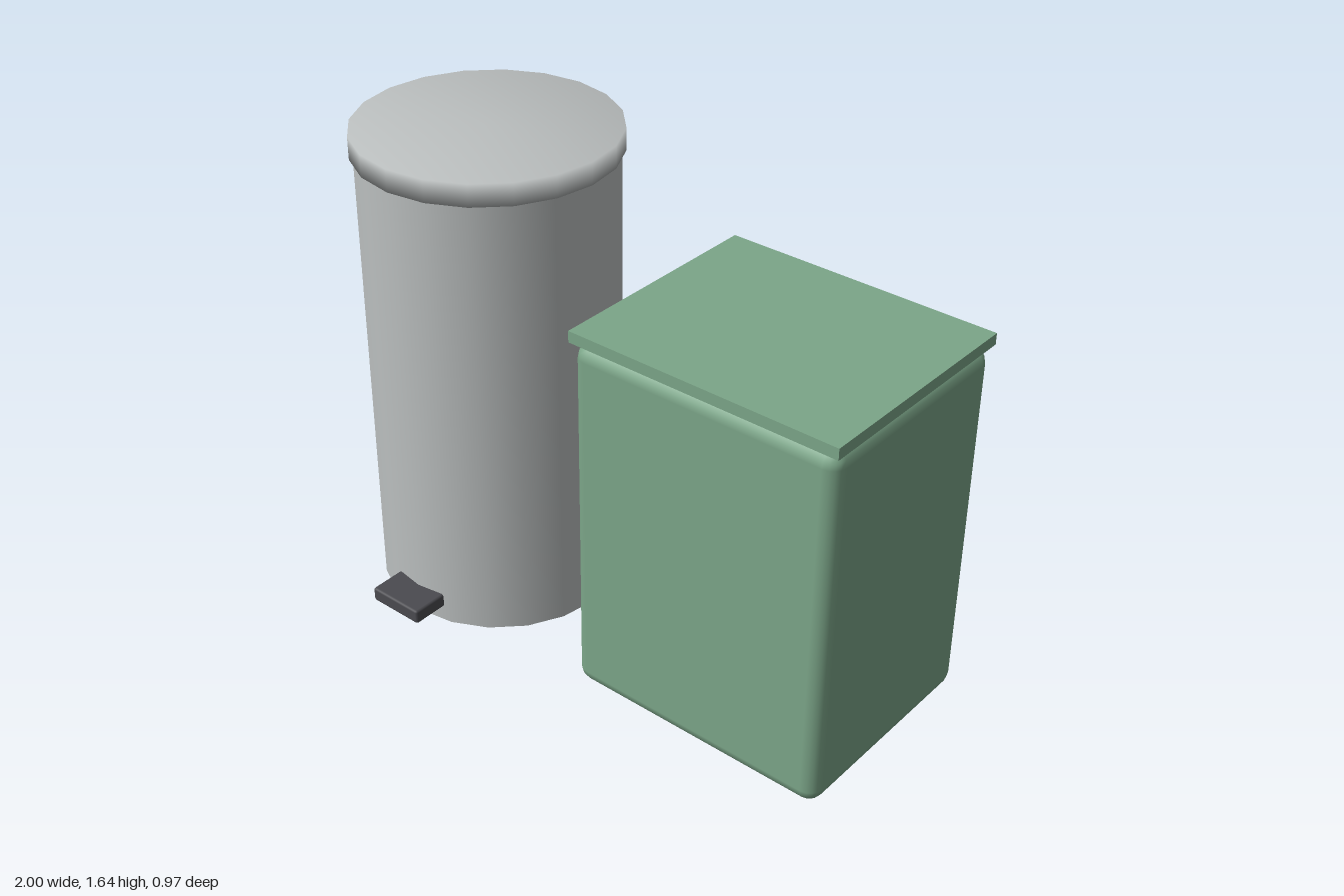
import * as THREE from 'three';
import { mergeVertices } from 'three/addons/utils/BufferGeometryUtils.js';
import { RoundedBoxGeometry } from 'three/addons/geometries/RoundedBoxGeometry.js';

const material = (name, color) => {
  const m = new THREE.MeshStandardMaterial({ color });
  m.name = name;
  return m;
};

// Share vertices so the normals blend softly over the rim
function soften(geometry) {
  geometry.deleteAttribute('normal');
  geometry.deleteAttribute('uv');
  const merged = mergeVertices(geometry);
  merged.computeVertexNormals();
  return merged;
}

function part(parent, name, geometry, mat, x, y, z) {
  const mesh = new THREE.Mesh(geometry, mat);
  mesh.name = name;
  mesh.position.set(x, y, z);
  parent.add(mesh);
  return mesh;
}

export function createModel() {
  const steel = material('brushed steel', 0xbbbfbf);
  const green = material('green plastic', 0x7ca689);
  const rubber = material('dark rubber', 0x4b4b50);
  const model = new THREE.Group();
  model.name = 'pair of bins';

  // Round pedal bin
  const roundBin = new THREE.Group();
  roundBin.name = 'roundBin';
  roundBin.position.set(-0.572, 0, -0.043);
  part(roundBin, 'roundBody', new THREE.CylinderGeometry(0.416, 0.416, 1.57, 20), steel, 0, 0.785, 0);
  part(roundBin, 'roundLid', soften(new THREE.CylinderGeometry(0.428, 0.428, 0.075, 20)), steel, 0, 1.598, 0);
  part(roundBin, 'pedal', new RoundedBoxGeometry(0.205, 0.05, 0.2, 1, 0.008), rubber, 0, 0.08, 0.425);

  // Rectangular bin with a flat lid
  const boxBin = new THREE.Group();
  boxBin.name = 'boxBin';
  boxBin.position.set(0.529, 0, -0.093);
  part(boxBin, 'boxBody', new RoundedBoxGeometry(0.934, 1.25, 0.776, 2, 0.05), green, 0, 0.625, 0);
  part(boxBin, 'boxLid', new THREE.BoxGeometry(0.942, 0.038, 0.784), green, 0, 1.271, 0);

  model.add(roundBin, boxBin);
  return model;
}
